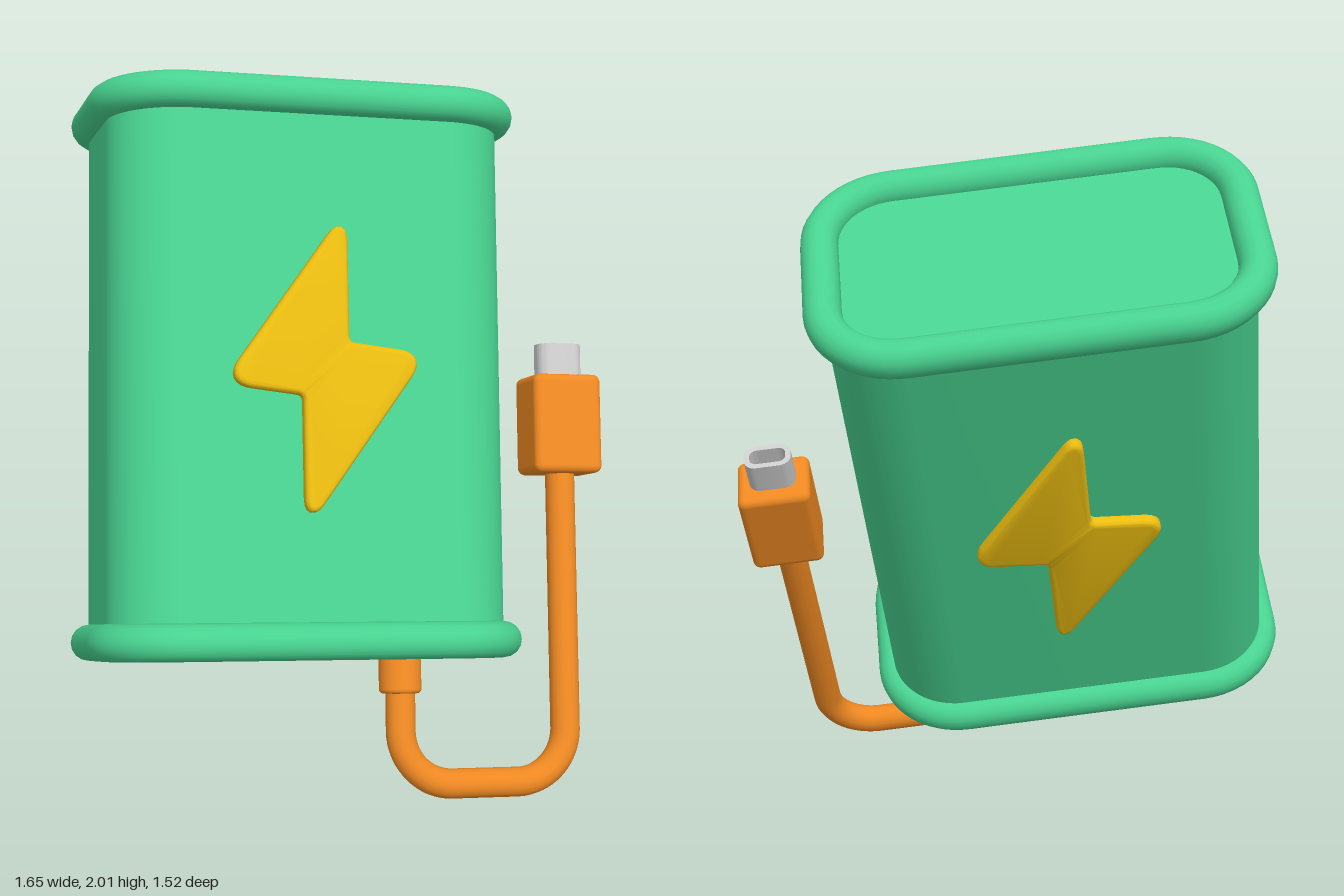
import * as THREE from 'three';
import { RoundedBoxGeometry } from 'three/addons/geometries/RoundedBoxGeometry.js';
import { toCreasedNormals } from 'three/addons/utils/BufferGeometryUtils.js';

const V3 = (x, y, z = 0) => new THREE.Vector3(x, y, z);
const paint = (color) => new THREE.MeshStandardMaterial({ color });
const green = paint(0x48d290), orange = paint(0xee8822), yellow = paint(0xeabc10), grey = paint(0xcccccc);

const HALF_W = 0.555, HALF_D = 0.33, CORNER = 0.2, HEIGHT = 1.463;
const PORT_X = 0.305, PLUG_X = 0.8, CABLE_R = 0.042;

function mesh(name, geometry, material, x = 0, y = 0, z = 0) {
  const m = new THREE.Mesh(geometry, material);
  m.name = name;
  m.position.set(x, y, z);
  return m;
}

// Rounded rectangle with half sizes a, b and corner radius r
function roundedRect(a, b, r, Type = THREE.Shape) {
  const s = new Type();
  s.absarc(a - r, b - r, r, 0, Math.PI / 2);
  s.absarc(r - a, b - r, r, Math.PI / 2, Math.PI);
  s.absarc(r - a, r - b, r, Math.PI, Math.PI * 1.5);
  s.absarc(a - r, r - b, r, Math.PI * 1.5, Math.PI * 2);
  s.closePath();
  return s;
}

// Polygon whose corners are rounded off at distance d
function roundedPolygon(corners) {
  const s = new THREE.Shape();
  const n = corners.length;
  corners.forEach(([x, y, d], i) => {
    const p = new THREE.Vector2(x, y);
    const toward = (c) => new THREE.Vector2(c[0], c[1]).sub(p).setLength(d).add(p);
    const a = toward(corners[(i + n - 1) % n]), b = toward(corners[(i + 1) % n]);
    if (i === 0) s.moveTo(a.x, a.y);
    else s.lineTo(a.x, a.y);
    s.quadraticCurveTo(x, y, b.x, b.y);
  });
  s.closePath();
  return s;
}

// Extrude a shape straight up the y axis
function extrudeUp(shape, depth) {
  const g = new THREE.ExtrudeGeometry(shape, { depth, bevelEnabled: false, curveSegments: 14 });
  g.rotateX(-Math.PI / 2);
  return toCreasedNormals(g, 0.6);
}

// Path of straight runs joined by round bends of radius r
function bentPath(points, r) {
  const path = new THREE.CurvePath();
  let from = points[0];
  for (let i = 1; i < points.length - 1; i++) {
    const p = points[i];
    const a = points[i - 1].clone().sub(p).setLength(r).add(p);
    const b = points[i + 1].clone().sub(p).setLength(r).add(p);
    path.add(new THREE.LineCurve3(from, a));
    path.add(new THREE.CubicBezierCurve3(a, a.clone().lerp(p, 0.55), b.clone().lerp(p, 0.55), b));
    from = b;
  }
  path.add(new THREE.LineCurve3(from, points[points.length - 1]));
  return path;
}

// Short round pin with a softened edge, pointing down
function pinGeometry(r, h, soft) {
  const profile = [new THREE.Vector2(0, -h)];
  for (let i = 0; i <= 6; i++) {
    const t = (i / 6) * Math.PI / 2;
    profile.push(new THREE.Vector2(r - soft + soft * Math.sin(t), -h + soft - soft * Math.cos(t)));
  }
  profile.push(new THREE.Vector2(r, 0.01));
  return new THREE.LatheGeometry(profile, 28);
}

export function createModel() {
  const root = new THREE.Group();
  root.name = 'powerBank';

  // Everything is built upright, then tilted as one
  const bank = new THREE.Group();
  bank.name = 'tiltedBank';
  const up = V3(0.273, 0.885, -0.376).normalize();
  const front = V3(0.913, -0.11, 0.393).cross(up).normalize();
  const side = up.clone().cross(front);
  bank.quaternion.setFromRotationMatrix(new THREE.Matrix4().makeBasis(side, up, front));
  bank.position.set(-0.225, 0.48, 0.27);
  root.add(bank);

  // Case
  const outline = roundedRect(HALF_W, HALF_D, CORNER);
  bank.add(mesh('caseBody', extrudeUp(outline, HEIGHT), green));

  // Round rims at both ends
  const loop = outline.getSpacedPoints(72).slice(0, -1).map((p) => V3(p.x, 0, p.y));
  const rim = new THREE.TubeGeometry(new THREE.CatmullRomCurve3(loop, true), 120, 0.05, 16, true);
  bank.add(mesh('bottomRim', rim, green), mesh('topRim', rim, green, 0, HEIGHT, 0));

  // Lightning bolt on the front and the back
  const half = [[0.047, 0.392, 0.05], [-0.26, -0.035, 0.06], [-0.05, -0.06, 0.03]];
  const boltShape = roundedPolygon([...half, ...half.map(([x, y, d]) => [-x, -y, d])]);
  const bolt = toCreasedNormals(new THREE.ExtrudeGeometry(boltShape, {
    depth: 0.02, bevelSize: 0.014, bevelThickness: 0.014, bevelSegments: 4, curveSegments: 8,
  }), 0.6);
  for (const [name, turn] of [['frontBolt', 0], ['backBolt', Math.PI]]) {
    const b = mesh(name, bolt, yellow, 0, HEIGHT / 2 - 0.01, Math.cos(turn) * (HALF_D - 0.003));
    b.rotation.y = turn;
    bank.add(b);
  }

  // Indicator pins underneath
  const pin = pinGeometry(0.05, 0.035, 0.015);
  for (const x of [-0.33, -0.185]) bank.add(mesh('indicatorPin', pin, grey, x, 0, 0));

  // Cable with its collar
  bank.add(mesh('cableCollar', pinGeometry(0.06, 0.15, 0.012), orange, PORT_X, 0, 0));
  const path = bentPath([
    V3(PORT_X, -0.1), V3(PORT_X, -0.405), V3(PLUG_X, -0.405), V3(PLUG_X, 0.5),
  ], 0.15);
  bank.add(mesh('cable', new THREE.TubeGeometry(path, 120, CABLE_R, 16), orange));

  // Plug: grip, hollow metal shell and the floor inside it
  bank.add(mesh('plugGrip', new RoundedBoxGeometry(0.205, 0.285, 0.17, 4, 0.022), orange, PLUG_X, 0.615, 0));
  const shell = roundedRect(0.066, 0.042, 0.034);
  shell.holes.push(roundedRect(0.05, 0.026, 0.02, THREE.Path));
  bank.add(mesh('plugShell', extrudeUp(shell, 0.11), grey, PLUG_X, 0.74, 0));
  bank.add(mesh('plugFloor', extrudeUp(roundedRect(0.055, 0.031, 0.025), 0.04), grey, PLUG_X, 0.74, 0));

  return root;
}
